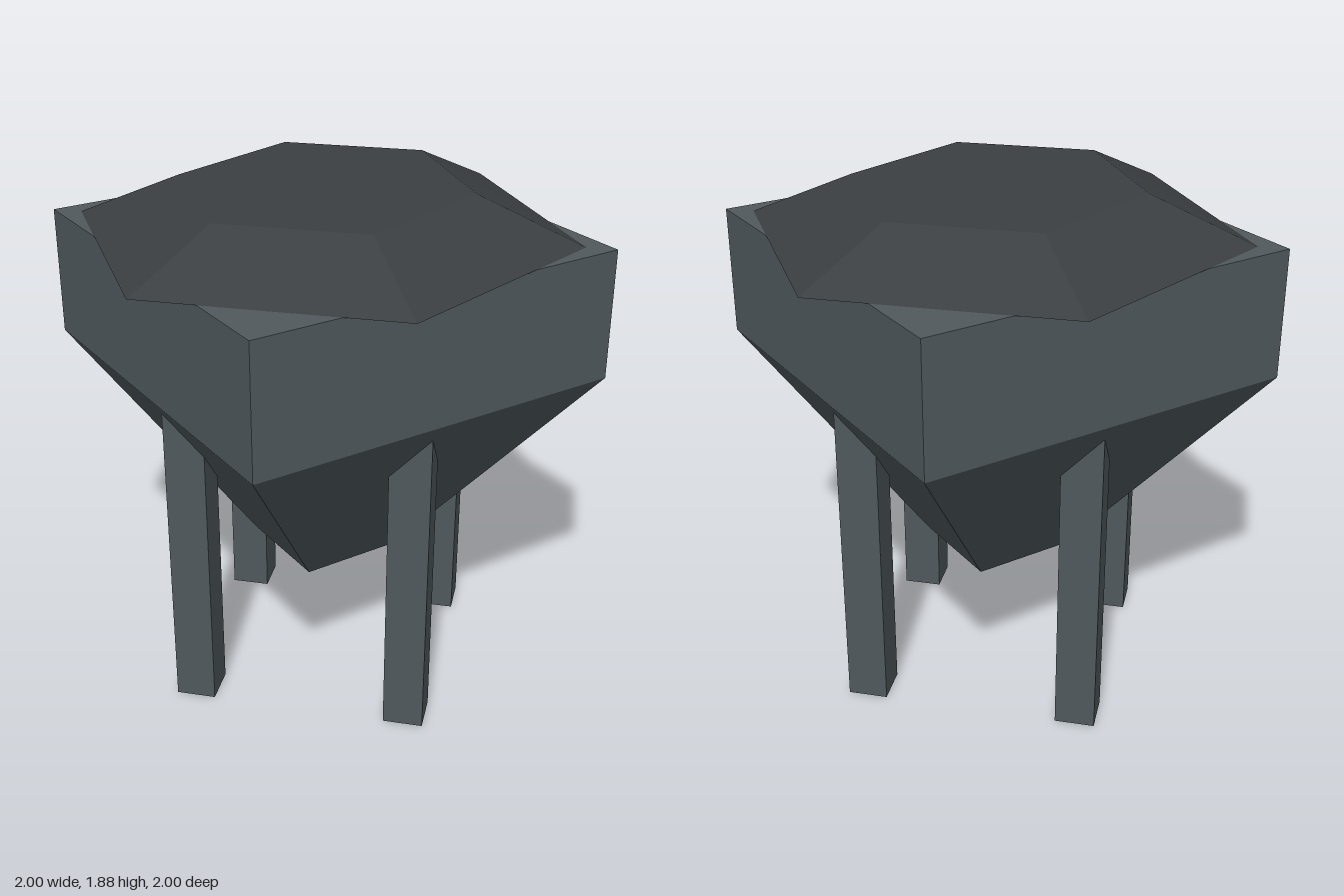
import * as THREE from 'three';

const paint = (color) => new THREE.MeshStandardMaterial({ color, flatShading: true });

export function createModel() {
  const model = new THREE.Group();
  const bodyMat = paint(0x50595d);
  const lidMat = paint(0x3b3f41);

  const add = (name, geometry, material, x = 0, y = 0, z = 0) => {
    const mesh = new THREE.Mesh(geometry, material);
    mesh.name = name;
    mesh.position.set(x, y, z);
    model.add(mesh);
    return mesh;
  };

  // Square hopper turned 45 degrees: tapered funnel, straight upper walls, closed ends
  const profile = [[0, 0.48], [0.27, 0.48], [1, 1.25], [1, 1.72], [0, 1.72]]
    .map(([r, y]) => new THREE.Vector2(r, y));
  add('hopper', new THREE.LatheGeometry(profile, 4), bodyMat);

  // Hexagonal bevelled lid, its top slightly stretched front to back
  const lid = new THREE.CylinderGeometry(0.52, 0.895, 0.16, 6);
  lid.rotateY(Math.PI / 6);
  const pos = lid.attributes.position;
  for (let i = 0; i < pos.count; i++) {
    if (pos.getY(i) > 0) pos.setZ(i, pos.getZ(i) * 1.077);
  }
  lid.computeVertexNormals();
  add('lid', lid, lidMat, 0, 1.8, 0);

  // Four square legs running up into the hopper
  const legHeight = 1.22;
  const leg = new THREE.BoxGeometry(0.145, legHeight, 0.145);
  for (const [zName, z] of [['front', 0.395], ['back', -0.395]]) {
    for (const [xName, x] of [['Left', 0.395], ['Right', -0.395]]) {
      add(`${zName}${xName}Leg`, leg, bodyMat, x, legHeight / 2, z);
    }
  }

  return model;
}
